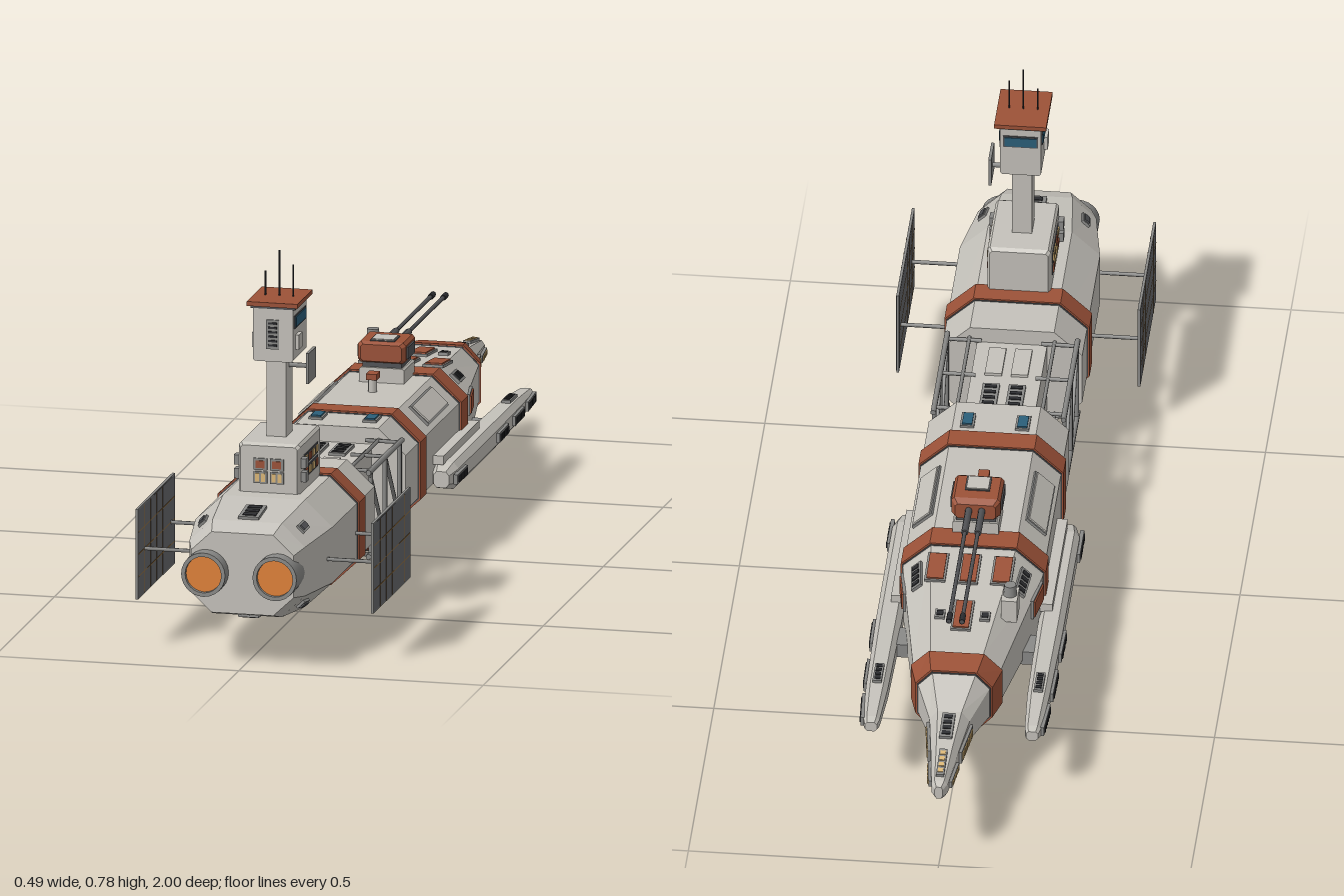
import * as THREE from 'three';
import { toCreasedNormals } from 'three/addons/utils/BufferGeometryUtils.js';

const V = (x, y, z) => new THREE.Vector3(x, y, z);
const flat = (name, color) => new THREE.MeshStandardMaterial({ name, color });
const M = {
  hull: flat('hullGrey', 0xc5c2bb), mid: flat('midGrey', 0x8a8a88), dark: flat('darkGrey', 0x525356),
  black: flat('slotBlack', 0x2c2d30), rust: flat('rustPaint', 0x9c5238), glow: flat('engineOrange', 0xe08238),
  blue: flat('windowBlue', 0x2b5f7a), cream: flat('lampCream', 0xdcb878), cell: flat('solarCell', 0x68696c),
  line: flat('solarLine', 0x96713f),
};

// Hull stations: z, half width, bottom, top
const FORE = [[-1, 0.008, 0.163, 0.19], [-0.985, 0.016, 0.158, 0.196], [-0.88, 0.028, 0.146, 0.212],
  [-0.785, 0.04, 0.138, 0.225], [-0.7, 0.072, 0.13, 0.258], [-0.64, 0.088, 0.125, 0.267],
  [-0.33, 0.14, 0.086, 0.301], [0.18, 0.14, 0.086, 0.303]];
const AFT = [[0.44, 0.14, 0.086, 0.303], [0.79, 0.14, 0.086, 0.305], [0.93, 0.118, 0.098, 0.29], [0.97, 0.105, 0.11, 0.275]];
const POD = [[-0.75, 0.012, 0.142, 0.163], [-0.735, 0.016, 0.137, 0.168], [-0.63, 0.022, 0.128, 0.176],
  [-0.4, 0.026, 0.124, 0.179], [-0.07, 0.026, 0.124, 0.179], [-0.03, 0.016, 0.135, 0.168]];

// Eight corners of a chamfered section, counter-clockwise seen from the front
function ring([z, w, y0, y1], cx = 0, ch = [0.4, 0.24]) {
  const a = w * ch[0], b = (y1 - y0) * ch[1];
  return [[w, y0 + b], [w, y1 - b], [w - a, y1], [a - w, y1], [-w, y1 - b], [-w, y0 + b], [a - w, y0], [w - a, y0]]
    .map(([x, y]) => V(x + cx, y, z));
}
function loft(stations, cx, ch) {
  const r = stations.map(s => ring(s, cx, ch)), pts = [], last = r.length - 1;
  for (let j = 0; j < last; j++) for (let i = 0; i < 8; i++) {
    const k = (i + 1) % 8;
    pts.push(r[j][i], r[j][k], r[j + 1][k], r[j][i], r[j + 1][k], r[j + 1][i]);
  }
  for (let i = 1; i < 7; i++) pts.push(r[last][0], r[last][i], r[last][i + 1], r[0][0], r[0][i + 1], r[0][i]);
  const g = new THREE.BufferGeometry().setFromPoints(pts);
  g.computeVertexNormals();
  return g;
}
// Section of a hull at any z
function sectionAt(st, z) {
  let j = 0;
  while (j < st.length - 2 && st[j + 1][0] < z) j++;
  const t = (z - st[j][0]) / (st[j + 1][0] - st[j][0]);
  return st[j].map((v, i) => v + (st[j + 1][i] - v) * t);
}

function add(parent, name, geo, mat, x = 0, y = 0, z = 0) {
  const m = new THREE.Mesh(geo, mat);
  m.name = name;
  m.position.set(x, y, z);
  parent.add(m);
  return m;
}
const box = (p, name, mat, w, h, d, x, y, z) => add(p, name, new THREE.BoxGeometry(w, h, d), mat, x, y, z);
function rod(p, name, mat, a, b, r, sides = 6) {
  const m = add(p, name, new THREE.CylinderGeometry(r, r, a.distanceTo(b), sides), mat);
  m.position.copy(a).lerp(b, 0.5);
  m.quaternion.setFromUnitVectors(V(0, 1, 0), b.clone().sub(a).normalize());
  return m;
}

// Local frame lying on one hull face; faces run side 0, chamfer 1, top 2 ... bottom 6, chamfer 7
function onFace(parent, name, st, face, z, v, cx) {
  const A = ring(sectionAt(st, z - 0.005), cx), B = ring(sectionAt(st, z + 0.005), cx), k = (face + 1) % 8;
  const a = A[face].clone().add(A[k]).multiplyScalar(0.5), b = B[face].clone().add(B[k]).multiplyScalar(0.5);
  const X = A[face].clone().sub(A[k]).normalize(), Z = b.clone().sub(a).normalize();
  const Y = Z.clone().cross(X).normalize();
  Z.crossVectors(X, Y);
  const g = new THREE.Group();
  g.name = name;
  g.quaternion.setFromRotationMatrix(new THREE.Matrix4().makeBasis(X, Y, Z));
  g.position.copy(a).lerp(b, 0.5).addScaledVector(X, v);
  parent.add(g);
  return g;
}
// Mirrored face frames; a detail on the centreline is made once
function mirrored(p, name, st, face, z, v, cx) {
  const sides = face % 4 === 2 && v === 0 && cx === 0 ? [1] : [1, -1];
  return sides.map(s => onFace(p, name, st, s > 0 ? face : (12 - face) % 8, z, s * v, s * cx));
}
function panels(p, name, st, face, z, v, w, l, mat) {
  for (const g of mirrored(p, name, st, face, z, v, 0)) {
    box(g, name + 'Frame', M.mid, w + 0.008, 0.006, l + 0.008, 0, 0.002, 0);
    box(g, name + 'Face', mat, w, 0.006, l, 0, 0.005, 0);
  }
}
function vents(p, name, st, face, z, v, w, l, n, cx = 0, slot = M.black) {
  for (const g of mirrored(p, name, st, face, z, v, cx)) {
    box(g, name + 'Frame', M.mid, w, 0.008, l, 0, 0.002, 0);
    for (let i = 0; i < n; i++) box(g, name + 'Slot', slot, w * 0.65, 0.004, l / n * 0.55, 0, 0.006, ((i + 0.5) / n - 0.5) * l * 0.9);
  }
}
// Painted band with a thin joint line at each edge
function band(p, st, z0, z1) {
  const grow = (z, d) => { const s = sectionAt(st, z); return [z, s[1] + d, s[2] - d, s[3] + d]; };
  add(p, 'paintedBand', loft([grow(z0, 0.005), grow(z1, 0.005)]), M.rust);
  add(p, 'bandSeam', loft([grow(z0 - 0.002, 0.002), grow(z1 + 0.002, 0.002)]), M.dark);
}

function turret(p, name, y, z, flip) {
  const g = new THREE.Group();
  g.name = name;
  g.position.set(0, y, z);
  if (flip) g.rotation.z = Math.PI;
  p.add(g);
  add(g, 'turretNeck', loft([[-0.044, 0.046, -0.01, 0.032], [0.044, 0.046, -0.01, 0.032]], 0, [0.08, 0.1]), M.hull);
  box(g, 'turretRing', M.dark, 0.08, 0.014, 0.078, 0, 0.037, 0);
  add(g, 'turretHouse', loft([[-0.05, 0.04, 0.045, 0.078], [-0.036, 0.049, 0.042, 0.085], [0.04, 0.049, 0.042, 0.085], [0.049, 0.042, 0.046, 0.08]], 0, [0.12, 0.15]), M.rust);
  box(g, 'turretHatchRim', M.dark, 0.05, 0.004, 0.048, 0, 0.085, 0.014);
  box(g, 'turretHatch', M.hull, 0.044, 0.006, 0.042, 0, 0.086, 0.014);
  for (const s of [1, -1]) box(g, 'turretSidePlate', M.dark, 0.006, 0.024, 0.056, s * 0.049, 0.063, 0.006);
  for (const x of [-0.013, 0.013]) {
    rod(g, 'barrelSleeve', M.dark, V(x, 0.065, -0.04), V(x, 0.065, -0.13), 0.007, 8);
    rod(g, 'barrel', M.dark, V(x, 0.065, -0.04), V(x, 0.065, -0.44), 0.004, 8);
    rod(g, 'muzzle', M.black, V(x, 0.065, -0.415), V(x, 0.065, -0.44), 0.006, 8);
  }
}

export function createModel() {
  const root = new THREE.Group();
  root.name = 'spaceship';

  // Hulls and painted bands
  add(root, 'foreHull', loft(FORE), M.hull);
  add(root, 'aftHull', loft(AFT), M.hull);
  for (const [z0, z1] of [[-0.7, -0.645], [-0.32, -0.265], [0.025, 0.075]]) band(root, FORE, z0, z1);
  band(root, AFT, 0.535, 0.585);

  // Fore hull details
  panels(root, 'topPanel', FORE, 2, -0.39, 0.066, 0.034, 0.075, M.rust);
  for (const z of [-0.53, -0.39]) panels(root, 'spinePanel', FORE, 2, z, 0, 0.032, 0.08, M.rust);
  panels(root, 'topSkylight', FORE, 2, 0.115, 0.055, 0.02, 0.038, M.blue);
  panels(root, 'sidePanel', FORE, 0, -0.382, -0.032, 0.035, 0.065, M.rust);
  panels(root, 'bellyPanel', FORE, 6, -0.39, 0.045, 0.035, 0.075, M.rust);
  panels(root, 'chamferPlate', FORE, 1, -0.12, 0, 0.045, 0.16, M.hull);
  vents(root, 'chamferVent', FORE, 1, -0.39, 0, 0.026, 0.07, 4);
  vents(root, 'topVent', FORE, 2, -0.53, 0.045, 0.02, 0.024, 1);
  vents(root, 'bellyVent', FORE, 6, -0.53, 0.03, 0.022, 0.06, 3);
  vents(root, 'noseLight', FORE, 0, -0.83, 0, 0.026, 0.1, 6, 0, M.cream);
  vents(root, 'tipLight', FORE, 0, -0.937, 0, 0.014, 0.07, 5, 0, M.cream);
  vents(root, 'noseVent', FORE, 2, -0.83, 0, 0.026, 0.07, 4);
  vents(root, 'tipTopLight', FORE, 2, -0.937, 0, 0.016, 0.075, 4, 0, M.cream);
  box(root, 'sensorPost', M.hull, 0.032, 0.05, 0.052, -0.091, 0.287, -0.49);
  add(root, 'sensorCap', new THREE.CylinderGeometry(0.012, 0.014, 0.024, 12), M.mid, -0.091, 0.323, -0.49);
  rod(root, 'mastPost', M.hull, V(0, 0.3, -0.115), V(0, 0.33, -0.115), 0.009, 8);
  box(root, 'mastHead', M.rust, 0.022, 0.012, 0.03, 0, 0.334, -0.118);

  // Side pods
  for (const s of [1, -1]) {
    add(root, 'sidePod', loft(POD, s * 0.161), M.hull);
    box(root, 'podRail', M.hull, 0.03, 0.018, 0.3, s * 0.146, 0.186, -0.2);
    box(root, 'podMount', M.mid, 0.06, 0.03, 0.06, s * 0.128, 0.152, -0.45);
  }
  for (const z of [-0.69, -0.57, -0.43, -0.08]) vents(root, 'podVent', POD, 0, z, 0, 0.02, 0.085, 6, 0.161);
  vents(root, 'podTopVent', POD, 2, -0.6, 0, 0.018, 0.06, 4, 0.161);

  turret(root, 'upperTurret', 0.3, -0.233, false);
  turret(root, 'lowerTurret', 0.09, -0.047, true);

  // Truss section around a narrow core
  box(root, 'trussCore', M.hull, 0.14, 0.15, 0.28, 0, 0.195, 0.31);
  for (const [y, s] of [[0.27, 1], [0.12, -1]]) for (const x of [-0.026, 0.026]) {
    box(root, 'coreVentFrame', M.mid, 0.034, 0.012, 0.08, x, y, 0.25);
    for (let i = 0; i < 4; i++) box(root, 'coreVentSlot', M.black, 0.024, 0.006, 0.009, x, y + s * 0.005, 0.222 + i * 0.019);
    box(root, 'corePlate', M.hull, 0.034, 0.012, 0.09, x, y, 0.37);
  }
  const top = 0.28, low = 0.108;
  for (const s of [1, -1]) {
    const x = s * 0.13;
    for (const y of [top, low]) {
      rod(root, 'longeron', M.mid, V(x, y, 0.17), V(x, y, 0.45), 0.006);
      rod(root, 'innerLongeron', M.mid, V(s * 0.085, y, 0.17), V(s * 0.085, y, 0.45), 0.004);
    }
    for (const z of [0.19, 0.31, 0.43]) {
      rod(root, 'trussPost', M.mid, V(x, low, z), V(x, top, z), 0.005);
      for (const y of [top, low]) rod(root, 'trussCross', M.mid, V(s * 0.06, y, z), V(x, y, z), 0.004);
    }
    for (const z of [0.31, 0.18]) rod(root, 'trussBrace', M.mid, V(x, top, z + 0.13), V(x, low, z), 0.004);
  }
  rod(root, 'sensorStalk', M.hull, V(0, 0.125, 0.365), V(0, 0.085, 0.365), 0.01, 8);
  box(root, 'sensorPod', M.rust, 0.02, 0.016, 0.036, 0, 0.078, 0.36);

  // Engines
  const bellProfile = [[0.045, 0.93], [0.045, 1], [0.037, 1], [0.036, 0.975]].map(([r, z]) => new THREE.Vector2(r, z));
  for (const x of [-0.073, 0.073]) {
    const bell = add(root, 'engineBell', toCreasedNormals(new THREE.LatheGeometry(bellProfile, 24), 0.6), M.mid, x, 0.193, 0);
    bell.rotation.x = Math.PI / 2;
    rod(root, 'engineGlow', M.glow, V(x, 0.193, 0.96), V(x, 0.193, 0.992), 0.0368, 24);
  }
  for (const f of [2, 6]) vents(root, 'tailVent', AFT, f, 0.885, 0, 0.042, 0.07, 3);
  panels(root, 'tailLatch', AFT, 1, 0.88, 0, 0.012, 0.025, M.dark);
  panels(root, 'tailLowerLatch', AFT, 7, 0.88, 0, 0.012, 0.025, M.dark);

  // Solar wings: framed cells with a thin grid on both faces
  for (const s of [1, -1]) {
    const g = new THREE.Group();
    g.name = 'solarWing';
    g.position.set(s * 0.241, 0.193, 0.715);
    root.add(g);
    box(g, 'solarFrame', M.mid, 0.0054, 0.185, 0.308, 0, 0, 0);
    box(g, 'solarCells', M.cell, 0.0062, 0.18, 0.302, 0, 0, 0);
    for (let i = 1; i < 6; i++) box(g, 'solarColumnLine', M.line, 0.0072, 0.18, 0.0015, 0, 0, -0.1525 + i * 0.0508);
    for (let i = 1; i < 4; i++) box(g, 'solarRowLine', M.line, 0.0072, 0.002, 0.3, 0, -0.0915 + i * 0.0457, 0);
    for (const z of [-0.12, 0.1]) rod(g, 'solarStrut', M.mid, V(-s * 0.11, 0, z), V(0, 0, z), 0.004);
  }

  // Command tower
  const t = new THREE.Group();
  t.name = 'commandTower';
  t.position.z = 0.66;
  root.add(t);
  add(t, 'towerBase', loft([[-0.09, 0.058, 0.295, 0.4], [-0.082, 0.063, 0.295, 0.405], [0.082, 0.063, 0.295, 0.405], [0.09, 0.058, 0.295, 0.4]], 0, [0.08, 0.05]), M.hull);
  for (const x of [-0.017, 0.017]) for (const y of [0.336, 0.363]) {
    box(t, 'frontWindowFrame', M.mid, 0.028, 0.024, 0.004, x, y, 0.091);
    if (y > 0.35) box(t, 'frontWindow', M.rust, 0.018, 0.015, 0.004, x, y, 0.093);
    else for (const d of [-0.006, 0.006]) box(t, 'frontWindow', M.cream, 0.008, 0.017, 0.004, x + d, y, 0.093);
  }
  for (const s of [1, -1]) {
    for (const y of [0.34, 0.367]) for (let i = 0; i < 4; i++) {
      box(t, 'sideWindowFrame', M.dark, 0.006, 0.022, 0.025, s * 0.062, y, -0.045 + i * 0.028);
      box(t, 'sideWindow', (i + (y > 0.35)) % 3 ? M.cream : M.rust, 0.006, 0.014, 0.016, s * 0.064, y, -0.045 + i * 0.028);
    }
    for (const y of [0.338, 0.366]) box(t, 'baseLocker', M.mid, 0.012, 0.02, 0.02, s * 0.068, y, 0.07);
  }
  box(t, 'towerShaft', M.hull, 0.04, 0.17, 0.054, 0, 0.485, 0);
  add(t, 'bridge', loft([[-0.056, 0.041, 0.565, 0.677], [0.056, 0.041, 0.565, 0.677]], 0, [0.1, 0.04]), M.hull);
  box(t, 'bridgeRoof', M.rust, 0.104, 0.009, 0.126, 0, 0.6825, 0);
  box(t, 'roofRim', M.dark, 0.092, 0.006, 0.114, 0, 0.676, 0);
  box(t, 'backWindowFrame', M.dark, 0.07, 0.026, 0.006, 0, 0.645, -0.055);
  box(t, 'bridgeBackWindow', M.blue, 0.064, 0.02, 0.006, 0, 0.645, -0.057);
  for (const s of [1, -1]) {
    box(t, 'sideWindowSurround', M.dark, 0.006, 0.026, 0.09, s * 0.04, 0.645, 0);
    box(t, 'bridgeSideWindow', M.blue, 0.006, 0.02, 0.084, s * 0.0415, 0.645, 0);
    box(t, 'bridgeLocker', M.hull, 0.01, 0.03, 0.03, s * 0.043, 0.602, 0.02);
  }
  box(t, 'bridgeVentFrame', M.mid, 0.026, 0.06, 0.006, 0, 0.621, 0.056);
  for (let i = 0; i < 6; i++) box(t, 'bridgeVentSlot', M.black, 0.018, 0.004, 0.004, 0, 0.599 + i * 0.009, 0.059);
  for (const [x, y, z] of [[0, 0.78, 0], [-0.029, 0.736, 0], [0.028, 0.752, 0]])
    rod(t, 'antenna', M.black, V(x, 0.68, z), V(x, y, z), 0.0018);
  rod(t, 'dishArm', M.mid, V(0.015, 0.547, 0), V(0.064, 0.547, 0), 0.005);
  box(t, 'dishPlate', M.mid, 0.006, 0.062, 0.06, 0.064, 0.548, 0);

  return root;
}
